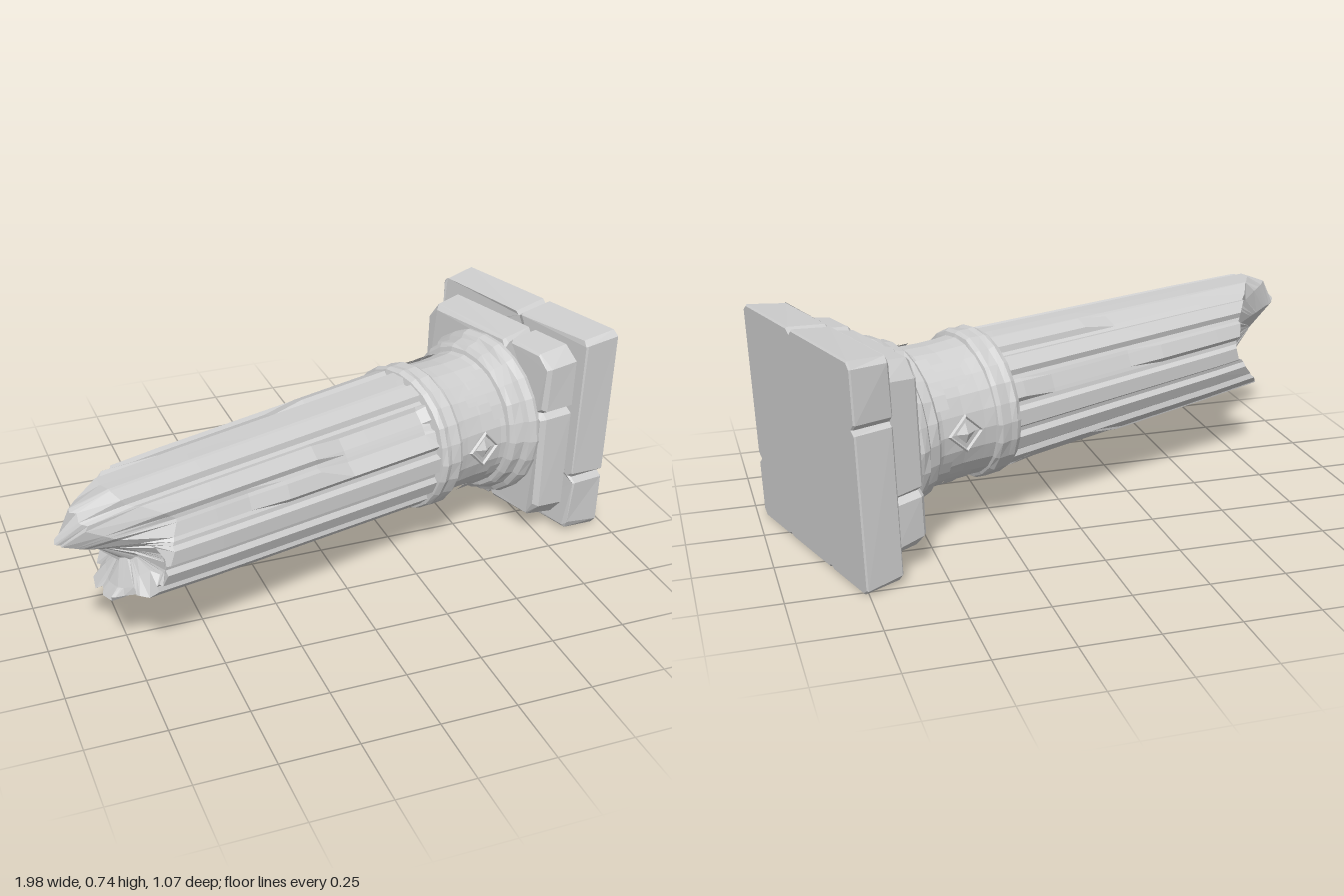
import * as THREE from 'three';

const stone = new THREE.MeshStandardMaterial({ color: 0xcecece, flatShading: true, side: THREE.DoubleSide });
stone.name = 'grey stone';
const DEG = Math.PI / 180;

// Repeatable noise in -1..1
const noise = (i, j) => { const n = Math.sin(i * 127.1 + j * 311.7) * 43758.5453; return 2 * (n - Math.floor(n)) - 1; };

function add(parent, name, geometry) {
  const mesh = new THREE.Mesh(geometry, stone);
  mesh.name = name;
  parent.add(mesh);
  return mesh;
}

// Square stone block with cut corners and V notches, worn narrower toward its upper face;
// notches = one [position, depth] list per side
function block(half, cut, notches, depth, bevel, taper) {
  const pts = [];
  notches.forEach((list, side) => {
    const c = Math.cos(side * Math.PI / 2), s = Math.sin(side * Math.PI / 2);
    const put = (u, w) => pts.push(new THREE.Vector2(u * c - w * s, u * s + w * c));
    put(-half + cut, -half);
    for (const [u, d] of list) { put(u - 0.018, -half); put(u, -half + d); put(u + 0.014, -half); }
    put(half - cut * 0.8, -half);
  });
  const geo = new THREE.ExtrudeGeometry(new THREE.Shape(pts), {
    depth: depth - 2 * bevel, bevelEnabled: true, bevelSegments: 1,
    bevelSize: bevel, bevelThickness: bevel, bevelOffset: -bevel,
  }).translate(0, 0, bevel).rotateX(-Math.PI / 2);
  const p = geo.attributes.position;
  for (let i = 0; i < p.count; i++) {
    if (p.getY(i) < depth / 2) continue;
    const n = noise(Math.round(p.getX(i) * 500), Math.round(p.getZ(i) * 500));
    const k = 1 - taper * (1 + 0.4 * n);
    p.setXYZ(i, p.getX(i) * k, p.getY(i) + 0.004 * n, p.getZ(i) * k);
  }
  return geo;
}

// Round moulding from [height, radius] pairs, slightly worn
function moulding(profile, sides, wear) {
  const geo = new THREE.LatheGeometry(profile.map(([t, r]) => new THREE.Vector2(r, t)), sides);
  const p = geo.attributes.position, rows = profile.length;
  for (let i = 0; i < p.count; i++) {
    const seg = Math.floor(i / rows) % sides;
    const k = 1 + wear * noise(seg, i % rows);
    p.setXYZ(i, p.getX(i) * k, p.getY(i) + 0.1 * wear * noise(seg, 9), p.getZ(i) * k);
  }
  return geo;
}

// Fluted shaft with chips and a jagged broken end; angle 0 is the upper side, 90 the front
function shaft() {
  const flutes = 16, per = 4, n = flutes * per;
  const steps = [0.64, 0.68, 0.8, 0.9, 1.0, 1.12, 1.25, 1.38, 1.5];
  // End heights every 30 degrees: outer rim, middle and core of the break
  const rim = [1.8, 1.77, 1.62, 1.67, 1.69, 1.73, 1.8, 1.76, 1.68, 1.58, 1.62, 1.72];
  const mid = [1.89, 1.92, 1.8, 1.66, 1.66, 1.72, 1.76, 1.73, 1.64, 1.58, 1.59, 1.72];
  const core = [1.95, 1.97, 1.88, 1.74, 1.7, 1.72, 1.74, 1.7, 1.66, 1.65, 1.7, 1.84];
  // Chips: from height, to height, from angle, to angle, depth
  const chips = [[0.67, 1.05, 38, 62, 0.024], [1.05, 1.75, 330, 346, 0.016], [0.79, 1.21, 285, 300, 0.016],
    [1.3, 1.9, 148, 172, 0.02], [0.79, 1.09, 205, 228, 0.018], [1.37, 1.9, 55, 76, 0.02]];
  const at = (table, a) => {
    const k = a / 30, i = Math.floor(k) % 12;
    return THREE.MathUtils.lerp(table[i], table[(i + 1) % 12], k - Math.floor(k));
  };
  const radius = (t, a, j) => {
    const R = 0.236 - 0.025 * (t - 0.65);
    let r = R - (j % per < 2 ? 0 : 0.015);
    for (const [t0, t1, a0, a1, d] of chips) if (t > t0 && t < t1 && a > a0 && a < a1) r = Math.min(r, R - d);
    return r;
  };
  const offset = [-0.27, 0.27, 0.42, 0.58];
  const pos = [], idx = [];
  const rings = steps.length + 4;
  for (let i = 0; i < rings; i++) for (let j = 0; j < n; j++) {
    const a = ((Math.floor(j / per) + offset[j % per]) * 360 / flutes + 360) % 360;
    const end = i - steps.length;
    let t, r;
    if (end < 0) { t = steps[i]; r = radius(t, a, j); }
    else if (end === 0) { t = at(rim, a) + 0.012 * noise(Math.floor(j / 2), 1); r = radius(t, a, j) * 0.985; }
    else {
      const q = Math.floor(j / 4);
      t = at(end === 1 ? mid : core, a) + 0.015 * noise(q, end);
      r = (end === 1 ? 0.145 : 0.075) * (1 + 0.12 * noise(q, end + 5));
      if (end === 3) { t = 1.83; r = 0; }
    }
    pos.push(r * Math.sin(a * DEG) + 0.016 * (t - 0.6), t, -r * Math.cos(a * DEG));
  }
  for (let i = 0; i < rings - 1; i++) for (let j = 0; j < n; j++) {
    const k = (j + 1) % n, a = i * n + j, b = i * n + k;
    idx.push(a, a + n, b, a + n, b + n, b);
  }
  const geo = new THREE.BufferGeometry();
  geo.setAttribute('position', new THREE.Float32BufferAttribute(pos, 3));
  geo.setIndex(idx);
  geo.computeVertexNormals();
  return geo;
}

// Curved raised plate on the neck, between two heights and two angles
function plate(t0, t1, a0, a1) {
  return new THREE.CylinderGeometry(0.235, 0.235, t1 - t0, 4, 1, true, Math.PI - a1 * DEG, (a1 - a0) * DEG)
    .translate(0, (t0 + t1) / 2, 0);
}

export function createModel() {
  const model = new THREE.Group();
  model.name = 'fallenColumn';
  const column = new THREE.Group();
  column.name = 'column';
  model.add(column);

  // Square base slab and the smaller plinth on it
  add(column, 'baseSlab', block(0.37, 0.022,
    [[[-0.13, 0.008], [0.16, 0.008]], [[-0.16, 0.02]], [[-0.03, 0.014]], [[-0.16, 0.016]]], 0.133, 0.005, 0.035));
  add(column, 'plinth', block(0.318, 0.055,
    [[[0.08, 0.02]], [[0.1, 0.025]], [[-0.1, 0.02]], [[0.12, 0.025]]], 0.125, 0.012, 0.04)).position.y = 0.125;

  // Round base ring, neck and collar
  add(column, 'baseRing', moulding([[0.23, 0.288], [0.265, 0.291], [0.29, 0.283], [0.3, 0.268],
    [0.335, 0.262], [0.348, 0.25], [0.36, 0.2]], 24, 0.012));
  add(column, 'neck', moulding([[0.34, 0.238], [0.37, 0.23], [0.45, 0.226], [0.52, 0.228], [0.57, 0.232]], 24, 0.004));
  add(column, 'collar', moulding([[0.555, 0.225], [0.562, 0.243], [0.575, 0.25], [0.61, 0.246],
    [0.63, 0.25], [0.647, 0.243], [0.653, 0.215]], 24, 0.01)).position.x = 0.004;
  add(column, 'shaft', shaft());

  // Stepped relief and diamond ornaments around the neck
  for (const a of [0, 90, 180, 270]) {
    add(column, 'steppedRelief', plate(0.35, 0.4, a + 22, a + 68));
    add(column, 'steppedRelief', plate(0.4, 0.45, a + 30, a + 60));
    add(column, 'steppedRelief', plate(0.45, 0.49, a + 38, a + 52));
  }
  for (const a of [90, 270]) {
    const diamond = new THREE.Group();
    diamond.name = 'diamondOrnament';
    const theta = Math.PI - a * DEG;
    diamond.position.set(0.229 * Math.sin(theta), 0.448, 0.229 * Math.cos(theta));
    diamond.rotation.y = theta;
    add(diamond, 'diamondFrame', new THREE.TorusGeometry(0.058, 0.007, 4, 4));
    add(diamond, 'diamondStone', new THREE.ConeGeometry(0.035, 0.016, 4).rotateX(Math.PI / 2)).position.z = 0.006;
    column.add(diamond);
  }

  // Lay the column down, turned and tipped slightly upward
  const along = new THREE.Vector3(-0.955, 0.036, 0.296).normalize();
  const across = new THREE.Vector3(0.296, 0, 0.955).normalize();
  const down = new THREE.Vector3().crossVectors(across, along);
  column.quaternion.setFromRotationMatrix(new THREE.Matrix4().makeBasis(across, along, down));
  column.position.set(0.88, 0.37, -0.185);
  return model;
}
